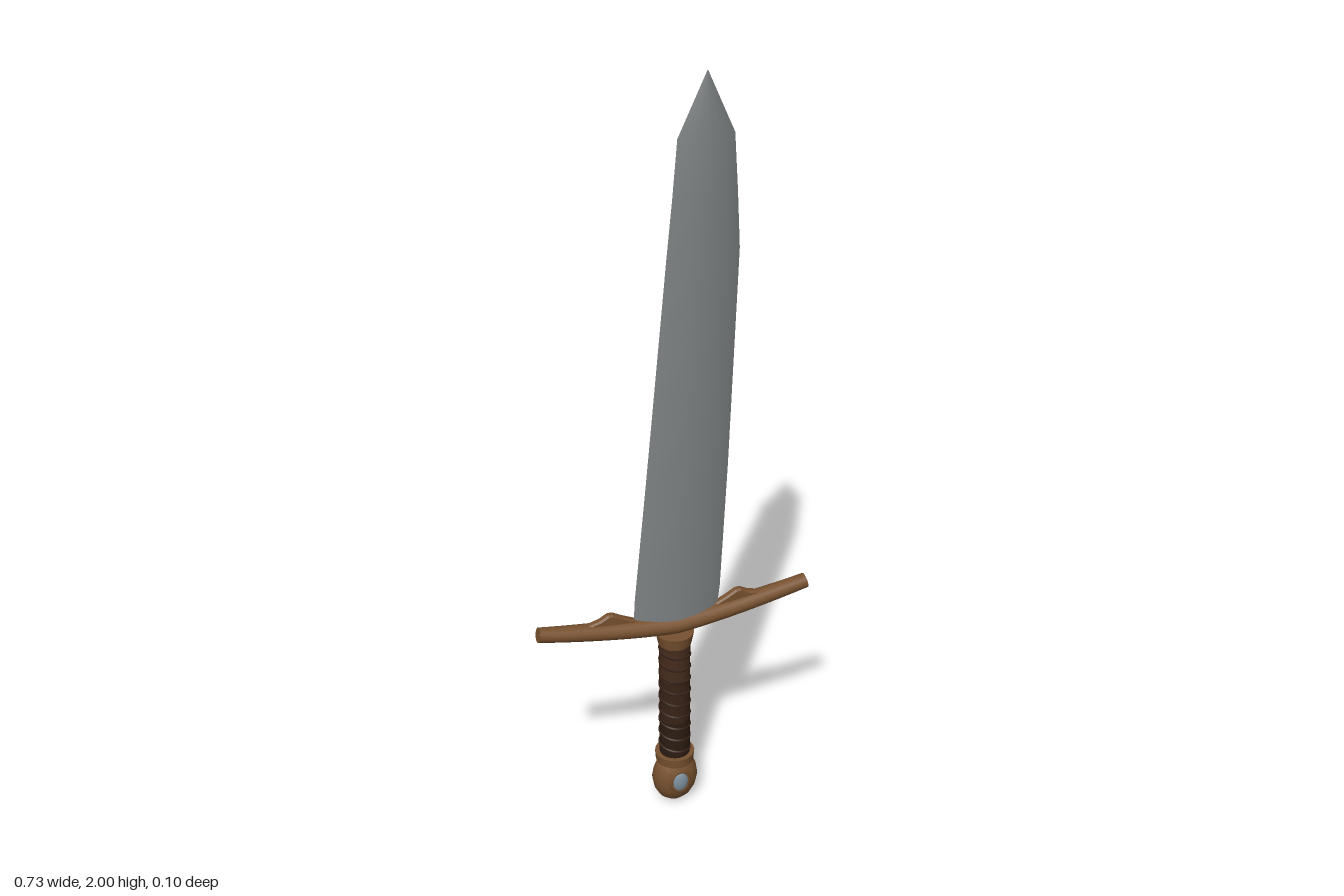
import * as THREE from 'three';

const mat = (name, color) => {
  const m = new THREE.MeshStandardMaterial({ color });
  m.name = name;
  return m;
};

export function createModel() {
  const steel = mat('steel', 0x7c8081);
  const bronze = mat('bronze', 0x77512f);
  const leather = [mat('dark leather', 0x2c1c12), mat('leather', 0x382317), mat('light leather', 0x452c1c)];
  const gemBlue = mat('gem blue', 0x7f919f);
  const group = new THREE.Group();

  const add = (name, geometry, material, parent = group) => {
    const mesh = new THREE.Mesh(geometry, material);
    mesh.name = name;
    parent.add(mesh);
    return mesh;
  };

  // Surface through rows of points
  const loft = (rows, flip) => {
    const n = rows[0].length, index = [];
    for (let i = 0; i < rows.length - 1; i++) {
      for (let j = 0; j < n - 1; j++) {
        const a = i * n + j, b = a + 1, c = a + n, d = c + 1;
        if (flip) index.push(a, c, b, b, c, d);
        else index.push(a, b, c, b, d, c);
      }
    }
    const g = new THREE.BufferGeometry();
    g.setAttribute('position', new THREE.Float32BufferAttribute(rows.flat(2), 3));
    g.setIndex(index);
    g.computeVertexNormals();
    return g;
  };

  // Blade: leaning lens sections [y, left edge, right edge, half thickness]
  const stations = [
    [0.56, -0.111, 0.112, 0.024], [0.65, -0.107, 0.122, 0.024], [1.0, -0.073, 0.139, 0.024],
    [1.3, -0.045, 0.15, 0.024], [1.57, -0.02, 0.16, 0.024], [1.71, -0.006, 0.153, 0.024],
    [1.85, 0.006, 0.144, 0.023], [2.0, 0.0765, 0.0775, 0.0005],
  ];
  const lens = [[0, 0], [0.1, 0.4], [0.28, 0.8], [0.5, 1], [0.72, 0.8], [0.9, 0.4], [1, 0]];
  const blade = new THREE.Group();
  blade.name = 'blade';
  group.add(blade);
  for (const side of [1, -1]) {
    const rows = stations.map(([y, l, r, h]) => lens.map(([t, k]) => [l + (r - l) * t, y, side * h * k]));
    add(side > 0 ? 'bladeFront' : 'bladeBack', loft(rows, side < 0), steel, blade);
  }

  // Crossguard: bowed oval bar that thins towards its ends
  const guardRows = [];
  for (let i = 0; i <= 24; i++) {
    const x = -0.36 + 0.03 * i, k = Math.abs(x) / 0.36;
    const y = 0.566 + 0.046 * Math.pow(k, 1.5);
    const ry = 0.027 - 0.008 * k, rz = 0.034 - 0.014 * k;
    const row = [];
    for (let j = 0; j <= 16; j++) {
      const a = (j / 16) * Math.PI * 2;
      // rings tilt to stay square to the curve
      row.push([x + Math.sign(x) * k * 0.004 * Math.cos(a), y - ry * Math.cos(a), rz * Math.sin(a)]);
    }
    guardRows.push(row);
  }
  add('crossguard', loft(guardRows, true), bronze);
  for (const s of [-1, 1]) {
    const cap = add('guardEnd', new THREE.CircleGeometry(1, 16), bronze);
    cap.scale.set(0.02, 0.0194, 1);
    cap.rotation.set(0, s * Math.PI / 2, s * 0.207, 'ZYX');
    cap.position.set(s * 0.36, 0.612, 0);
  }

  // Small peaked leaves on top of the guard
  for (const s of [-1, 1]) {
    const leaf = new THREE.Shape([
      [0.108, 0.585], [0.108, 0.601], [0.14, 0.616], [0.165, 0.63], [0.178, 0.631],
      [0.2, 0.619], [0.233, 0.61], [0.233, 0.59],
    ].map(([x, y]) => new THREE.Vector2(s * x, y)));
    const mesh = add('guardLeaf', new THREE.ExtrudeGeometry(leaf, {
      depth: 0.012, bevelSize: 0.004, bevelOffset: -0.004, bevelThickness: 0.005, bevelSegments: 1,
    }), bronze);
    mesh.position.z = -0.007;
  }

  // Grip in three shades of leather
  const bands = [0.15, 0.27, 0.4, 0.52];
  leather.forEach((m, i) => {
    const h = bands[i + 1] - bands[i];
    const band = add('gripBand', new THREE.CylinderGeometry(0.04, 0.04, h, 20, 1, true), m);
    band.position.y = bands[i] + h / 2;
  });

  // Leather cord wound around the grip
  const cord = [];
  for (let i = 0; i <= 144; i++) {
    const a = (i / 16) * Math.PI * 2;
    cord.push(new THREE.Vector3(0.0385 * Math.cos(a), 0.17 + 0.335 * i / 144, 0.0385 * Math.sin(a)));
  }
  add('gripCord', new THREE.TubeGeometry(new THREE.CatmullRomCurve3(cord), 200, 0.0045, 6), leather[1]);

  // Collars above and below the grip
  const collar = (name, y0, y1, r0, r1) => {
    const c = add(name, new THREE.CylinderGeometry(r1, r0, y1 - y0, 20), bronze);
    c.position.y = (y0 + y1) / 2;
  };
  collar('upperCollar', 0.506, 0.54, 0.043, 0.05);
  collar('lowerCollar', 0.134, 0.16, 0.05, 0.052);

  // Egg-shaped pommel, flatter front to back
  const profile = [
    [0, 0], [0.022, 0.006], [0.042, 0.022], [0.056, 0.047], [0.062, 0.077],
    [0.058, 0.104], [0.048, 0.128], [0.036, 0.142],
  ].map(([x, y]) => new THREE.Vector2(x, y));
  const pommel = add('pommel', new THREE.LatheGeometry(profile, 20), bronze);
  pommel.scale.z = 0.75;

  // Gem in a rim on the front of the pommel
  const gem = add('gem', new THREE.SphereGeometry(1, 14, 10), gemBlue);
  gem.scale.set(0.023, 0.032, 0.011);
  gem.position.set(0, 0.084, 0.041);
  const rim = add('gemRim', new THREE.TorusGeometry(0.024, 0.005, 6, 20), bronze);
  rim.scale.y = 1.3;
  rim.position.set(0, 0.084, 0.042);

  return group;
}
